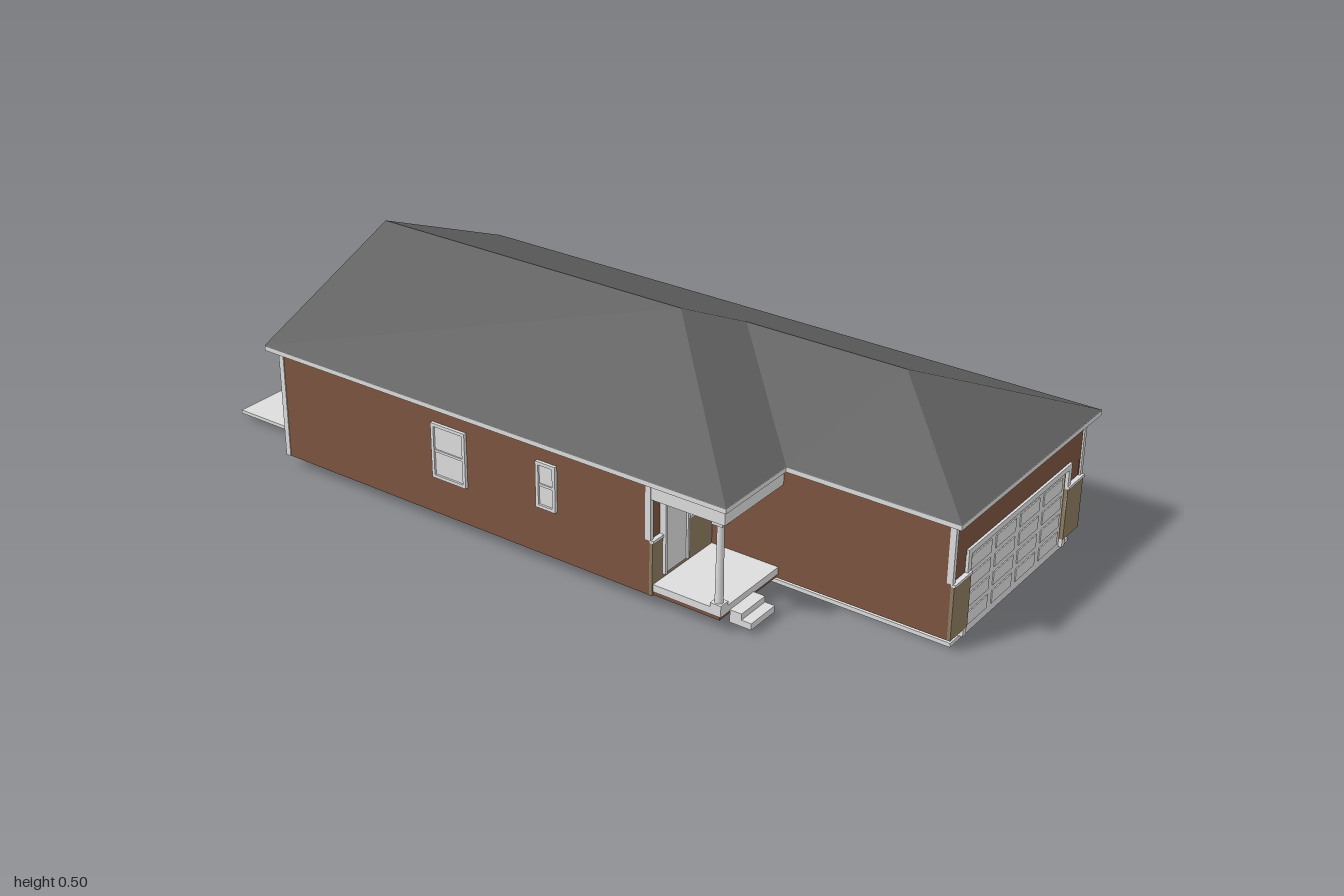
import * as THREE from 'three';

const mat = (name, color) => {
  const m = new THREE.MeshStandardMaterial({ color });
  m.name = name;
  return m;
};

export function createModel() {
  const house = new THREE.Group();
  house.name = 'house';
  const light = mat('light grey trim', 0xdcdcdc);
  const brick = mat('red brown brick', 0x7c543f);
  const stone = mat('tan stone', 0x8c7b60);
  const roofing = mat('dark grey shingles', 0x5e5e5e);
  roofing.side = THREE.DoubleSide;

  const add = (name, geo, material, parent = house) => {
    const mesh = new THREE.Mesh(geo, material);
    mesh.name = name;
    parent.add(mesh);
    return mesh;
  };
  // Box given by its limits on each axis
  const box = (name, m, x0, x1, y0, y1, z0, z1, parent = house) => {
    const mesh = add(name, new THREE.BoxGeometry(x1 - x0, y1 - y0, z1 - z0), m, parent);
    mesh.position.set((x0 + x1) / 2, (y0 + y1) / 2, (z0 + z1) / 2);
    return mesh;
  };
  const outline = pts => pts.map(([x, y]) => new THREE.Vector2(x, y));
  // Upright plate: outline in x and y, pushed from z0 to z1
  const plate = (name, m, pts, z0, z1) => {
    const geo = new THREE.ExtrudeGeometry(new THREE.Shape(outline(pts)), { depth: z1 - z0, bevelEnabled: false });
    return add(name, geo.translate(0, 0, z0), m);
  };
  // Level slab: outline in x and z, pushed from y0 to y1
  const slab = (name, m, pts, y0, y1, hole) => {
    const flip = list => outline(list.map(([x, z]) => [x, -z]));
    const shape = new THREE.Shape(flip(pts));
    if (hole) shape.holes.push(new THREE.Path(flip(hole)));
    const geo = new THREE.ExtrudeGeometry(shape, { depth: y1 - y0, bevelEnabled: false });
    return add(name, geo.rotateX(-Math.PI / 2).translate(0, y0, 0), m);
  };

  // Roof: each plane is a fan of triangles turned to face up
  const E = 0.325, R = 0.505, G = 0.459;
  const planes = {
    mainRoofRightPlane: [[-0.437, E, -0.745], [-0.437, E, 0.58], [0, R, 0.155], [0, R, -0.745]],
    mainRoofHip: [[-0.437, E, 0.58], [-0.21, E, 0.58], [0.112, G, 0.26], [0, R, 0.155]],
    roofLeftPlane: [[0.437, E, -0.745], [0, R, -0.745], [0, R, 0.155], [0.112, G, 0.26], [0.112, G, 0.68], [0.437, E, 1]],
    garageRoofRightPlane: [[-0.21, E, 0.58], [-0.21, E, 1], [0.112, G, 0.68], [0.112, G, 0.26]],
    garageRoofHip: [[-0.21, E, 1], [0.437, E, 1], [0.112, G, 0.68]],
  };
  for (const [name, pts] of Object.entries(planes)) {
    const pos = [];
    for (let i = 1; i < pts.length - 1; i++) {
      const [a, b, c] = [pts[0], pts[i], pts[i + 1]];
      const up = (b[2] - a[2]) * (c[0] - a[0]) - (b[0] - a[0]) * (c[2] - a[2]);
      pos.push(...a, ...(up > 0 ? [...b, ...c] : [...c, ...b]));
    }
    const geo = new THREE.BufferGeometry();
    geo.setAttribute('position', new THREE.Float32BufferAttribute(pos, 3));
    geo.computeVertexNormals();
    add(name, geo, roofing);
  }

  // Soffit and fascia under the eaves, then the gable rake and frieze
  slab('eaves', light, [[-0.437, -0.718], [0.437, -0.718], [0.437, 1], [-0.21, 1], [-0.21, 0.58], [-0.437, 0.58]], 0.312, 0.324);
  const rake = (name, w, top, drop, z0, z1) => plate(name, light, [
    [-w, top - 0.412 * w], [-w, top - 0.412 * w - drop], [0, top - drop],
    [w, top - 0.412 * w - drop], [w, top - 0.412 * w], [0, top]], z0, z1);
  rake('gableRake', 0.437, 0.504, 0.012, -0.745, -0.71);
  rake('gableFrieze', 0.413, 0.493, 0.014, -0.724, -0.716);

  // Brick walls
  plate('backWall', brick, [[-0.413, 0.03], [0.413, 0.03], [0.413, 0.322], [0, 0.492], [-0.413, 0.322]], -0.72, -0.708);
  box('leftWall', brick, 0.401, 0.413, 0.03, 0.313, -0.719, 0.975);
  box('rightWall', brick, -0.413, -0.401, 0.03, 0.313, -0.719, 0.37);
  box('porchWall', brick, -0.412, 0.401, 0.03, 0.313, 0.358, 0.37);
  box('garageSideWall', brick, -0.187, -0.175, 0.03, 0.313, 0.37, 0.975);
  box('garageHeader', brick, -0.186, 0.412, 0.208, 0.313, 0.963, 0.975);
  box('garagePier', brick, -0.186, -0.113, 0.03, 0.21, 0.963, 0.974);
  box('garagePier', brick, 0.337, 0.412, 0.03, 0.21, 0.963, 0.974);

  // Stone wainscot with a ledge on top
  for (const [x0, x1, z] of [[-0.187, -0.113, 0.974], [0.337, 0.414, 0.974], [-0.413, -0.187, 0.37]]) {
    box('stoneWainscot', stone, x0, x1, 0.03, 0.16, z, z + 0.008);
    box('wainscotLedge', light, x0, x1, 0.16, 0.167, z, z + 0.011);
  }

  // Corner boards and frieze boards
  for (const x of [-0.415, 0.403]) box('backCornerBoard', light, x, x + 0.012, 0.03, 0.32, -0.723, -0.709);
  box('garageCornerBoard', light, 0.404, 0.415, 0.167, 0.312, 0.965, 0.979);
  box('garageCornerBoard', light, 0.404, 0.4148, 0.03, 0.167, 0.965, 0.979);
  box('garageCornerBoard', light, -0.189, -0.178, 0.167, 0.312, 0.965, 0.979);
  box('porchCornerBoard', light, -0.415, -0.404, 0.167, 0.312, 0.36, 0.374);
  box('leftFrieze', light, 0.41, 0.416, 0.3, 0.313, -0.72, 0.977);
  box('rightFrieze', light, -0.416, -0.41, 0.3, 0.313, -0.72, 0.372);
  box('garageFrieze', light, -0.187, 0.413, 0.3, 0.313, 0.97, 0.978);
  box('garageSideFrieze', light, -0.19, -0.184, 0.3, 0.313, 0.37, 0.977);

  // Garage door with trim and raised panels
  box('garageDoor', light, -0.113, 0.337, 0.01, 0.208, 0.963, 0.972);
  for (let row = 0; row < 4; row++) for (let col = 0; col < 4; col++) {
    const x = -0.1 + col * 0.111, y = 0.022 + row * 0.046;
    box('garageDoorPanel', light, x, x + 0.09, y, y + 0.032, 0.971, 0.9745);
  }
  box('garageDoorTopTrim', light, -0.128, 0.351, 0.208, 0.222, 0.965, 0.981);
  for (const x of [-0.128, 0.337]) box('garageDoorSideTrim', light, x, x + 0.014, 0.01, 0.208, 0.965, 0.981);

  // Floors, with a vent opening in the main floor
  slab('mainFloor', light, [[-0.401, -0.71], [0.401, -0.71], [0.401, 0.36], [-0.401, 0.36]], 0.031, 0.055,
    [[-0.04, -0.22], [0.28, -0.22], [0.28, -0.14], [-0.04, -0.14]]);
  box('garageFloor', light, -0.165, 0.388, 0, 0.01, 0.4, 0.972);

  // Porch: floor, skirt, steps, beams and column
  box('porchFloor', light, -0.41, -0.187, 0.04, 0.058, 0.37, 0.555);
  box('porchSkirt', brick, -0.407, -0.187, 0.03, 0.04, 0.37, 0.55);
  box('porchUpperStep', light, -0.375, -0.284, 0.028, 0.043, 0.555, 0.585);
  box('porchLowerStep', light, -0.375, -0.284, 0.012, 0.028, 0.555, 0.61);
  box('porchFrontBeam', light, -0.413, -0.189, 0.267, 0.313, 0.54, 0.562);
  box('porchSideBeam', light, -0.413, -0.391, 0.267, 0.313, 0.372, 0.54);
  const shaft = add('porchColumn', new THREE.CylinderGeometry(0.008, 0.01, 0.21, 16), light);
  shaft.position.set(-0.396, 0.162, 0.541);
  box('columnBase', light, -0.41, -0.382, 0.058, 0.068, 0.527, 0.555);
  box('columnCap', light, -0.41, -0.382, 0.259, 0.267, 0.527, 0.555);

  // Front door
  box('frontDoor', light, -0.369, -0.29, 0.068, 0.254, 0.37, 0.381);
  box('frontDoorTop', light, -0.375, -0.284, 0.252, 0.26, 0.37, 0.386);
  for (const x of [-0.375, -0.291]) box('frontDoorJamb', light, x, x + 0.007, 0.068, 0.252, 0.37, 0.386);

  // Windows: pane, frame and one bar, built facing +z and turned to the wall
  const opening = (name, w, h, x, y, z, turn, upright) => {
    const g = new THREE.Group();
    g.name = name;
    const a = w / 2, b = h / 2, f = 0.008;
    box('pane', light, -a, a, -b, b, -0.002, 0.002, g);
    for (const s of [-1, 1]) {
      box('frameSide', light, s * (a - f / 2) - f / 2, s * (a - f / 2) + f / 2, -b, b, 0, 0.007, g);
      box('frameRail', light, -a + f, a - f, s * (b - f / 2) - f / 2, s * (b - f / 2) + f / 2, 0, 0.007, g);
    }
    if (upright) box('bar', light, -0.004, 0.004, -b + f, b - f, 0, 0.005, g);
    else box('bar', light, -a + f, a - f, -0.003, 0.003, 0, 0.005, g);
    g.position.set(x, y, z);
    g.rotation.y = turn;
    house.add(g);
  };
  opening('leftWindow', 0.085, 0.14, 0.414, 0.2, 0.02, Math.PI / 2);
  opening('rightWindow', 0.1, 0.14, -0.414, 0.197, -0.19, -Math.PI / 2);
  opening('rightSmallWindow', 0.055, 0.115, -0.414, 0.208, 0.092, -Math.PI / 2);
  opening('backWindow', 0.085, 0.14, 0.3, 0.197, -0.721, Math.PI);
  opening('backWindow', 0.085, 0.14, 0.118, 0.197, -0.721, Math.PI);
  opening('backWideWindow', 0.115, 0.14, -0.29, 0.195, -0.721, Math.PI, true);
  opening('patioDoor', 0.185, 0.21, -0.115, 0.158, -0.721, Math.PI, true);

  // Back patio and its steps
  box('patio', light, -0.298, -0.013, 0.012, 0.021, -1, -0.72);
  box('patioLowerStep', light, -0.128, -0.035, 0.021, 0.033, -0.775, -0.72);
  box('patioUpperStep', light, -0.128, -0.035, 0.033, 0.046, -0.747, -0.72);

  return house;
}
